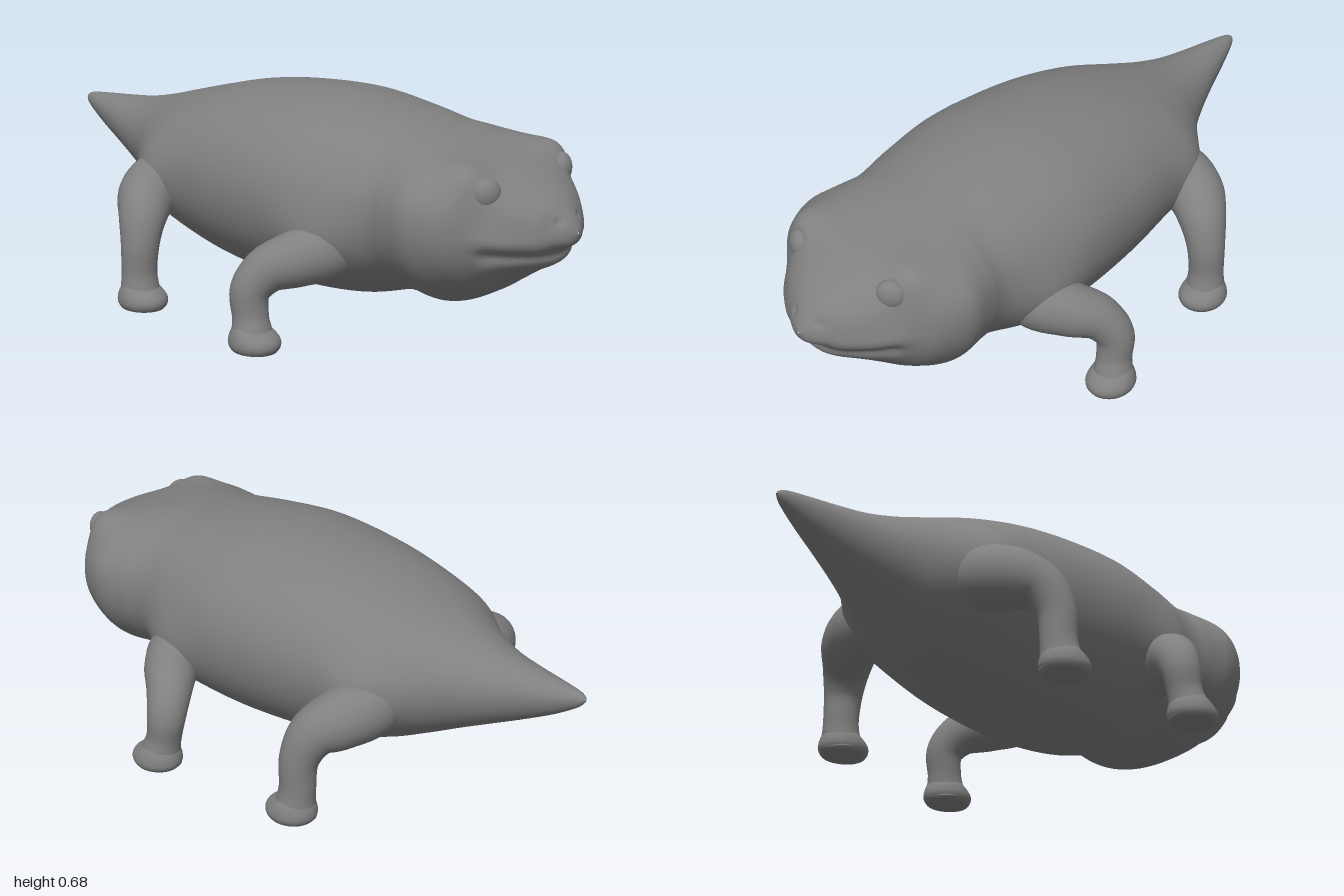
import * as THREE from 'three';
import { mergeVertices } from 'three/addons/utils/BufferGeometryUtils.js';

const skin = new THREE.MeshStandardMaterial({ color: 0x808080 });

// Body stations, nose to tail: z, top y, bottom y, half width, widest y, squareness of the upper half
const STATIONS = [
  [1.0, 0.402, 0.398, 0.002, 0.4, 2],
  [0.985, 0.432, 0.365, 0.04, 0.4, 2],
  [0.955, 0.47, 0.34, 0.085, 0.4, 2],
  [0.93, 0.495, 0.298, 0.125, 0.4, 2.1],
  [0.87, 0.535, 0.262, 0.195, 0.4, 2.3],
  [0.8, 0.567, 0.215, 0.26, 0.405, 2.5],
  [0.74, 0.587, 0.175, 0.315, 0.41, 2.5],
  [0.65, 0.61, 0.132, 0.35, 0.42, 2.4],
  [0.56, 0.628, 0.138, 0.337, 0.41, 2.3],
  [0.48, 0.64, 0.13, 0.328, 0.4, 2.2],
  [0.33, 0.665, 0.088, 0.362, 0.39, 2.1],
  [0.15, 0.682, 0.072, 0.382, 0.39, 2.1],
  [-0.05, 0.672, 0.078, 0.37, 0.39, 2.1],
  [-0.22, 0.647, 0.101, 0.346, 0.39, 2.1],
  [-0.38, 0.605, 0.146, 0.305, 0.39, 2.1],
  [-0.5, 0.57, 0.198, 0.237, 0.39, 2],
  [-0.6, 0.54, 0.245, 0.168, 0.4, 2],
  [-0.7, 0.517, 0.292, 0.118, 0.41, 2],
  [-0.8, 0.505, 0.34, 0.08, 0.43, 2],
  [-0.9, 0.496, 0.392, 0.047, 0.45, 2],
  [-0.975, 0.487, 0.44, 0.02, 0.465, 2],
  [-1.0, 0.472, 0.468, 0.002, 0.47, 2],
];

// Soft swellings and dents: centre, radius, displacement (mirrored across x)
const BUMPS = [
  { at: [0.2, 0.56, 0.745], r: 0.075, move: [0.014, 0.022, 0.02] },         // brow
  { at: [0.2, 0.45, 0.82], r: 0.05, move: [-0.005, 0, -0.008] },            // under the eye
  { at: [0.047, 0.435, 0.965], r: 0.012, move: [-0.002, -0.004, -0.006] },  // nostril
  { at: [0.2, 0.34, 0.83], r: 0.03, move: [-0.008, 0, -0.006] },            // mouth corner
  { at: [0.35, 0.3, 0.32], r: 0.12, move: [0.03, -0.005, 0] },              // shoulder
  { at: [0.28, 0.36, -0.41], r: 0.12, move: [0.035, 0.005, 0] },            // hip
];

const gauss = (d, r) => Math.exp(-(d * d) / (r * r));

function finish(geometry) {
  geometry.deleteAttribute('uv');
  geometry.deleteAttribute('normal');
  const g = mergeVertices(geometry, 1e-5);
  g.computeVertexNormals();
  return g;
}

function add(group, name, geometry) {
  const mesh = new THREE.Mesh(geometry, skin);
  mesh.name = name;
  group.add(mesh);
  return mesh;
}

// Smooth interpolation through the stations
function station(t) {
  const last = STATIONS.length - 1;
  const i = Math.min(Math.floor(t * last), last - 1);
  const f = t * last - i;
  const row = (k) => STATIONS[Math.max(0, Math.min(last, k))];
  const [a, b, c, d] = [row(i - 1), row(i), row(i + 1), row(i + 2)];
  return b.map((_, k) => b[k] + 0.5 * f * (c[k] - a[k]
    + f * (2 * a[k] - 5 * b[k] + 4 * c[k] - d[k] + f * (3 * (b[k] - c[k]) + d[k] - a[k]))));
}

function sculpt(p) {
  // Mouth crease with soft lips either side
  const front = THREE.MathUtils.smoothstep(p.z, 0.78, 0.9);
  const line = 0.333 + 0.25 * p.x * p.x;
  const lips = 0.03 * gauss(p.y - line - 0.04, 0.03) - 0.055 * gauss(p.y - line, 0.018)
    + 0.015 * gauss(p.y - line + 0.035, 0.025);
  p.x *= 1 + front * lips;
  p.z += front * lips * 0.15;
  const start = p.clone();
  for (const { at, r, move } of BUMPS) {
    for (const s of [1, -1]) {
      const w = gauss(start.distanceTo(new THREE.Vector3(s * at[0], at[1], at[2])), r);
      p.x += s * move[0] * w;
      p.y += move[1] * w;
      p.z += move[2] * w;
    }
  }
  return p;
}

function bodyGeometry() {
  const rings = 168, sides = 112, position = [], index = [];
  for (let i = 0; i <= rings; i++) {
    const [z, top, bottom, width, mid, square] = station(i / rings);
    for (let j = 0; j < sides; j++) {
      const a = (j / sides) * Math.PI * 2, c = Math.cos(a), s = Math.sin(a);
      const e = s > 0 ? 2 / square : 1;
      const x = Math.sign(c) * Math.abs(c) ** e * width;
      const y = s > 0 ? mid + s ** e * (top - mid) : mid + s * (mid - bottom);
      position.push(...sculpt(new THREE.Vector3(x, y, z)).toArray());
      if (i === rings) continue;
      const k = (j + 1) % sides, p = i * sides, q = p + sides;
      index.push(p + j, q + j, p + k, p + k, q + j, q + k);
    }
  }
  const g = new THREE.BufferGeometry();
  g.setAttribute('position', new THREE.Float32BufferAttribute(position, 3));
  g.setIndex(index);
  return finish(g);
}

// Tapered limb: points are x, y, z, radius
function limbGeometry(points, side) {
  const curve = new THREE.CatmullRomCurve3(points.map(([x, y, z]) => new THREE.Vector3(side * x, y, z)));
  const radii = new THREE.SplineCurve(points.map((p, i) => new THREE.Vector2(i, p[3])));
  const segments = 48, sides = 28;
  const g = new THREE.TubeGeometry(curve, segments, 1, sides, false);
  const pos = g.attributes.position, v = new THREE.Vector3();
  for (let i = 0; i <= segments; i++) {
    const centre = curve.getPointAt(i / segments);
    const r = radii.getPoint(curve.getUtoTmapping(i / segments)).y;
    for (let j = 0; j <= sides; j++) {
      const n = i * (sides + 1) + j;
      v.fromBufferAttribute(pos, n).sub(centre).multiplyScalar(r).add(centre);
      pos.setXYZ(n, v.x, Math.max(v.y, 0.006), v.z);
    }
  }
  return finish(g);
}

// Rounded foot, flat on the ground, its instep rising into the ankle
function footGeometry(x, z) {
  const g = new THREE.SphereGeometry(1, 36, 24);
  g.scale(0.073, 0.046, 0.082).translate(x, 0.028, z);
  const pos = g.attributes.position;
  for (let i = 0; i < pos.count; i++) {
    const y = pos.getY(i);
    const rise = y > 0.03 ? 0.03 * THREE.MathUtils.smoothstep(z + 0.05 - pos.getZ(i), 0, 0.08) : 0;
    pos.setY(i, Math.max(y + rise * (y - 0.03) / 0.044, 0.004));
  }
  return finish(g);
}

const LEGS = {
  front: {
    path: [[0.2, 0.3, 0.33, 0.08], [0.3, 0.285, 0.325, 0.095], [0.38, 0.265, 0.285, 0.085],
      [0.45, 0.232, 0.225, 0.07], [0.49, 0.175, 0.198, 0.06], [0.497, 0.1, 0.205, 0.054],
      [0.502, 0.055, 0.214, 0.061], [0.505, 0.02, 0.218, 0.068]],
    foot: [0.505, 0.228],
  },
  hind: {
    path: [[0.14, 0.35, -0.41, 0.08], [0.25, 0.335, -0.405, 0.098], [0.34, 0.315, -0.375, 0.092],
      [0.405, 0.275, -0.33, 0.075], [0.44, 0.2, -0.308, 0.06], [0.447, 0.11, -0.307, 0.055],
      [0.45, 0.055, -0.302, 0.061], [0.452, 0.02, -0.298, 0.068]],
    foot: [0.453, -0.288],
  },
};

export function createModel() {
  const model = new THREE.Group();
  model.name = 'amphibian';
  add(model, 'body', bodyGeometry());
  for (const [side, word] of [[1, 'left'], [-1, 'right']]) {
    // Eyes
    const eye = add(model, word + 'Eye', new THREE.SphereGeometry(0.046, 28, 20));
    eye.position.set(side * 0.182, 0.518, 0.81);
    eye.rotation.y = side * 0.5;
    eye.scale.z = 0.7;
    // Legs and feet
    for (const [end, { path, foot }] of Object.entries(LEGS)) {
      const leg = new THREE.Group();
      leg.name = `${word} ${end} leg`;
      add(leg, 'limb', limbGeometry(path, side));
      add(leg, 'foot', footGeometry(side * foot[0], foot[1]));
      model.add(leg);
    }
  }
  return model;
}
